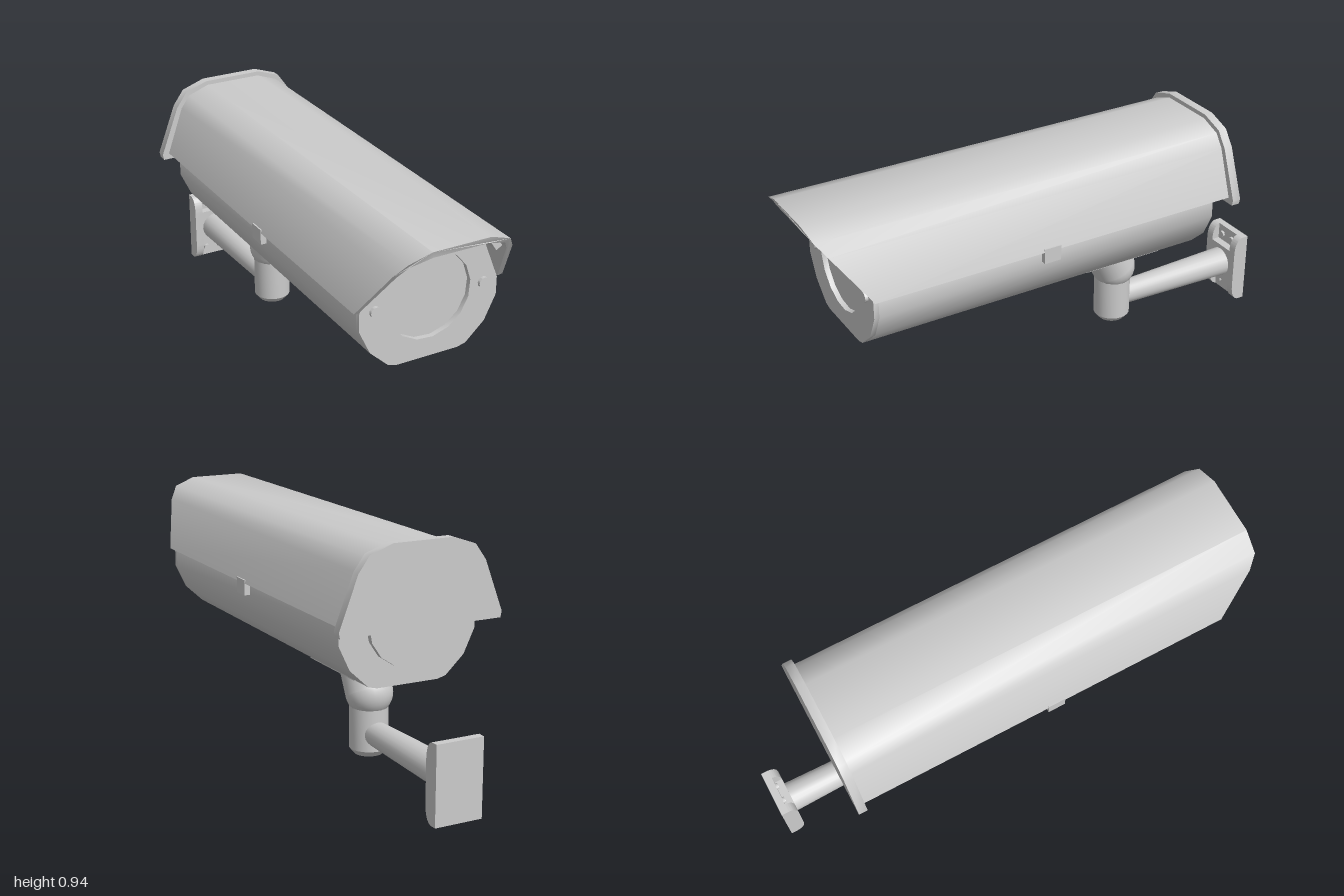
import * as THREE from 'three';
import { toCreasedNormals } from 'three/addons/utils/BufferGeometryUtils.js';

const grey = new THREE.MeshStandardMaterial({ color: 0xcccccc });

// Right-hand half outline -> closed symmetric outline
const mirror = (half) => [...half, ...half.map(([x, y]) => [-x, y]).reverse()];

const toShape = (pts) => new THREE.Shape(pts.map(([x, y]) => new THREE.Vector2(x, y)));

// Extrude a shape from z0 to z1
function slab(shape, z0, z1) {
  const g = new THREE.ExtrudeGeometry(shape, { depth: z1 - z0, bevelEnabled: false, curveSegments: 16 });
  return g.translate(0, 0, z0);
}

// Open arch with thickness: outer half outline and inner half outline, listed top to bottom
function arch(outer, inner) {
  const left = (p) => p.map(([x, y]) => [-x, y]);
  return toShape([...left(outer).reverse(), ...outer, ...[...inner].reverse(), ...left(inner)]);
}

export function createModel() {
  const model = new THREE.Group();

  function add(name, geometry, x = 0, y = 0, z = 0, crease = 0.85) {
    const mesh = new THREE.Mesh(toCreasedNormals(geometry, crease), grey);
    mesh.name = name;
    mesh.position.set(x, y, z);
    model.add(mesh);
    return mesh;
  }
  const rod = (rFront, rBack, length, sides) =>
    new THREE.CylinderGeometry(rFront, rBack, length, sides).rotateX(Math.PI / 2);

  // Housing body with a recessed round window at the front
  const bodyHalf = [[0.105, 0.882], [0.18, 0.862], [0.208, 0.83], [0.28, 0.65],
    [0.28, 0.58], [0.235, 0.485], [0.16, 0.415], [0.125, 0.406]];
  const bodyOutline = mirror(bodyHalf);
  add('housing', slab(toShape(bodyOutline), -0.65, 0.8));
  const frontShape = toShape(bodyOutline);
  const ring = [];
  for (let i = 0; i < 16; i++) {
    const a = (i + 0.3) / 16 * Math.PI * 2;
    ring.push(new THREE.Vector2(0.168 * Math.cos(a), 0.647 + 0.168 * Math.sin(a)));
  }
  frontShape.holes.push(new THREE.Path(ring));
  add('frontFrame', slab(frontShape, 0.8, 0.82));
  add('rearCover', rod(0.172, 0.172, 0.03, 16), 0, 0.645, -0.658);

  // Sun hood, its front cut back along a slope
  const hoodOuter = [[0.115, 0.926], [0.2, 0.895], [0.236, 0.845], [0.302, 0.657]];
  const hoodInner = [[0.108, 0.902], [0.188, 0.876], [0.217, 0.835], [0.284, 0.652]];
  const hood = slab(arch(hoodOuter, hoodInner), -0.71, 1);
  const p = hood.attributes.position;
  for (let i = 0; i < p.count; i++) {
    if (p.getZ(i) > 0) p.setZ(i, Math.min(1, 0.82 + (p.getY(i) - 0.655) * 0.706));
  }
  add('sunHood', hood);

  // Lining strip under the hood in front of the window
  const lipOuter = [[0.107, 0.902], [0.186, 0.876], [0.212, 0.84]];
  const lipInner = [[0.102, 0.88], [0.164, 0.862], [0.188, 0.826]];
  add('hoodLining', slab(arch(lipOuter, lipInner), 0.82, 0.93));

  // Back plate closing the hood
  const capHalf = [[0.12, 0.943], [0.212, 0.911], [0.256, 0.85], [0.33, 0.655], [0.325, 0.632]];
  add('hoodBackPlate', slab(toShape(mirror(capHalf)), -0.745, -0.71));

  // Front studs and side clips
  for (const s of [-1, 1]) {
    add('frontStud', rod(0.021, 0.021, 0.02, 12), s * 0.22, 0.645, 0.822);
    add('sideClip', new THREE.BoxGeometry(0.028, 0.06, 0.07), s * 0.289, 0.64, 0.1);
  }

  // Mounting pad under the housing
  add('mountingPad', new THREE.BoxGeometry(0.268, 0.016, 0.342), 0, 0.403, -0.332);

  // Tilting neck with a ball end
  const tilt = Math.atan(0.516);
  const neck = new THREE.CylinderGeometry(0.09, 0.09, 0.16, 24, 1, true);
  neck.translate(0, 0.08, 0).rotateX(tilt);
  add('tiltNeck', neck, 0, 0.3, -0.377);
  add('tiltBall', new THREE.SphereGeometry(0.09, 24, 16).rotateX(tilt), 0, 0.3, -0.377);

  // Upright post with chamfered foot and a hexagonal socket
  const postProfile = [[0, 0.3], [0.074, 0.29], [0.074, 0.086], [0.055, 0.063], [0.03, 0.063]]
    .reverse().map(([r, y]) => new THREE.Vector2(r, y));
  add('post', new THREE.LatheGeometry(postProfile, 24), 0, 0, -0.375, 0.5);
  const socketProfile = [[0, 0.085], [0.032, 0.085], [0.032, 0.063]].map(([r, y]) => new THREE.Vector2(r, y));
  add('postSocket', new THREE.LatheGeometry(socketProfile, 6), 0, 0, -0.375, 0.3);

  // Arm, slightly thicker towards the wall
  add('wallArm', rod(0.047, 0.061, 0.57, 20), 0, 0.152, -0.67);

  // Wall bracket: base, side flanges and raised centre
  add('bracketBase', new THREE.BoxGeometry(0.19, 0.3, 0.03), 0, 0.15, -0.985);
  const flange = new THREE.Shape();
  flange.moveTo(0.97, 0);
  flange.quadraticCurveTo(0.936, 0.01, 0.936, 0.075);
  flange.lineTo(0.936, 0.225);
  flange.quadraticCurveTo(0.936, 0.29, 0.97, 0.3);
  flange.closePath();
  for (const s of [-1, 1]) {
    const g = slab(flange, -0.0175, 0.0175).rotateY(Math.PI / 2);
    add('bracketFlange', g, s * 0.0775, 0, 0);
    for (const y of [0.038, 0.262]) {
      add('bracketScrew', rod(0.013, 0.013, 0.012, 12), s * 0.032, y, -0.966);
    }
  }
  add('bracketCentre', new THREE.BoxGeometry(0.12, 0.16, 0.034), 0, 0.15, -0.953);

  return model;
}
